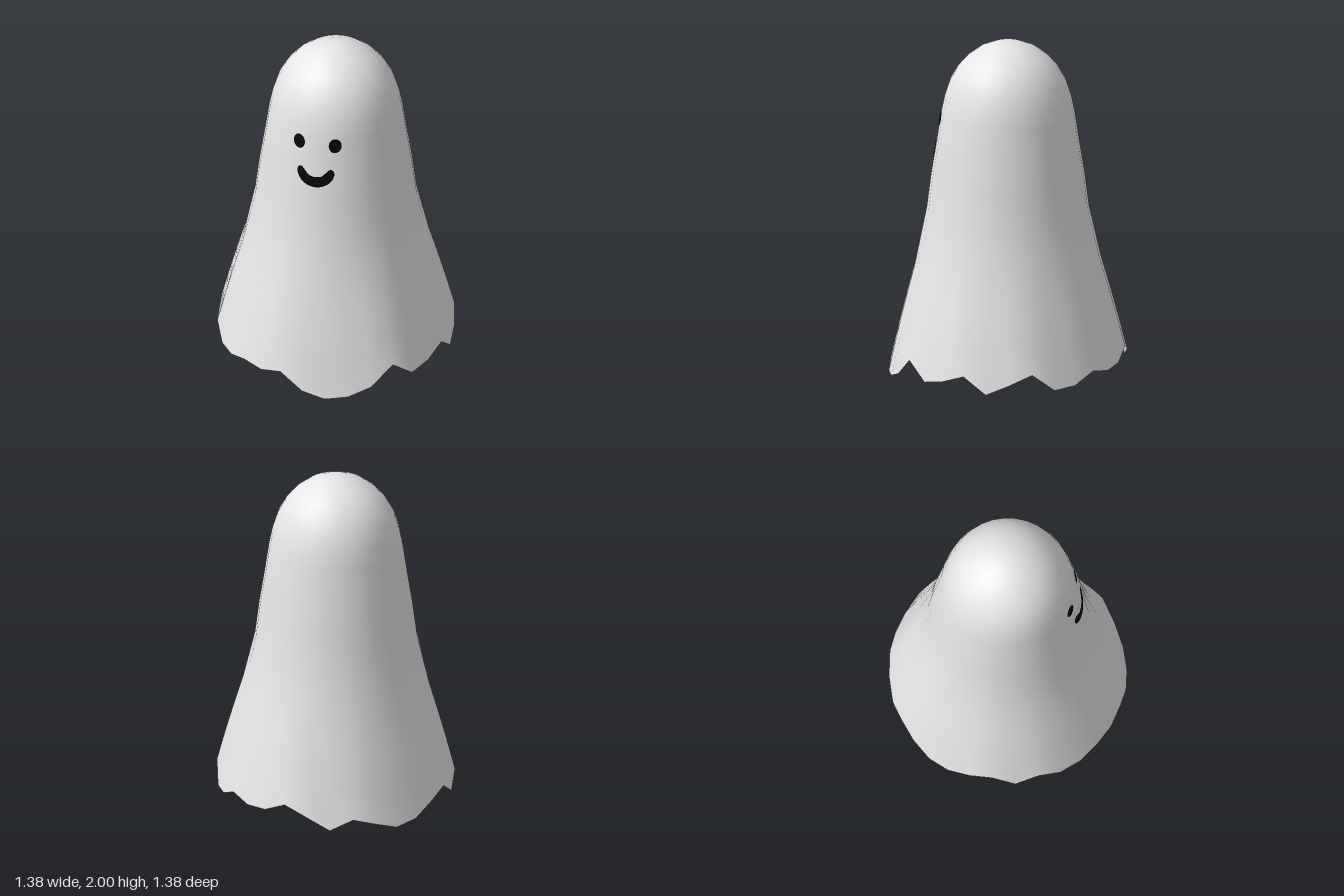
import * as THREE from 'three';
import { mergeVertices } from 'three/addons/utils/BufferGeometryUtils.js';

// Sheet profile [radius, height], hem to crown
const PROFILE = [
  [0.69, 0.1], [0.642, 0.3], [0.59, 0.5], [0.54, 0.68], [0.505, 0.84], [0.47, 1.0], [0.445, 1.2],
  [0.413, 1.4], [0.388, 1.57], [0.367, 1.67], [0.338, 1.76], [0.295, 1.836], [0.24, 1.9],
  [0.17, 1.953], [0.09, 1.987], [0, 2],
];

// Hem height of each column, from the front round through +x
const HEM = [
  0.04, 0, 0.015, 0.065, 0.185, 0.085, 0.115, 0.165, 0.065, 0.125, 0.185, 0.08, 0.09, 0.15, 0.12, 0.13,
  0.19, 0.13, 0.055, 0.12, 0.08, 0.035, 0.055, 0.12, 0.165, 0.075, 0.155, 0.085, 0.085, 0.12, 0.11, 0.14,
];

// Linear lookup in a table of [x, y] points with rising x
function lookup(table, x) {
  let i = 1;
  while (i < table.length - 1 && table[i][0] < x) i++;
  const [x0, y0] = table[i - 1], [x1, y1] = table[i];
  return THREE.MathUtils.lerp(y0, y1, (x - x0) / (x1 - x0));
}

const radiusByHeight = PROFILE.map(([r, y]) => [y, r]);

// Draped sheet: a lathe whose columns slide up or down towards a ragged hem
function sheetGeometry() {
  const lathe = new THREE.LatheGeometry(PROFILE.map(([r, y]) => new THREE.Vector2(r, y)), HEM.length);
  lathe.deleteAttribute('normal');
  lathe.deleteAttribute('uv');
  const pos = lathe.attributes.position;
  for (let i = 0; i < pos.count; i++) {
    const column = Math.floor(i / PROFILE.length) % HEM.length;
    const y = pos.getY(i);
    const weight = THREE.MathUtils.clamp((1 - y) / 0.9, 0, 1);
    pos.setY(i, y + (HEM[column] - 0.1) * weight);
  }
  const geometry = mergeVertices(lathe, 1e-5);
  geometry.computeVertexNormals();
  return geometry;
}

// Thin painted patch between two curves, wrapped onto the front of the sheet
function facePatch(halfWidth, centreX, lower, upper) {
  const geometry = new THREE.PlaneGeometry(2, 1, 28, 6);
  const pos = geometry.attributes.position;
  for (let i = 0; i < pos.count; i++) {
    const angle = pos.getX(i) * Math.PI / 2;
    const dx = halfWidth * Math.sin(angle);
    const y = THREE.MathUtils.lerp(lower(angle, dx), upper(angle, dx), pos.getY(i) + 0.5);
    const x = centreX + dx;
    const r = lookup(radiusByHeight, y) + 0.004;
    pos.setXYZ(i, x, y, Math.sqrt(r * r - x * x));
  }
  geometry.computeVertexNormals();
  return geometry;
}

export function createModel() {
  const group = new THREE.Group();
  group.name = 'ghost';
  const cloth = new THREE.MeshStandardMaterial({ color: 0xe6e6e6, side: THREE.DoubleSide });
  cloth.name = 'white cloth';
  const black = new THREE.MeshStandardMaterial({ color: 0x050505, side: THREE.DoubleSide });
  black.name = 'black paint';

  const add = (name, geometry, material) => {
    const mesh = new THREE.Mesh(geometry, material);
    mesh.name = name;
    group.add(mesh);
  };

  add('sheet', sheetGeometry(), cloth);

  // Oval eyes
  for (const [name, side] of [['leftEye', 1], ['rightEye', -1]]) {
    add(name, facePatch(0.036, side * 0.108,
      (a) => 1.545 - 0.043 * Math.cos(a),
      (a) => 1.545 + 0.043 * Math.cos(a)), black);
  }

  // Smile with rounded, raised corners
  const lip = [[0, 1.342], [0.035, 1.348], [0.055, 1.365], [0.075, 1.39], [0.092, 1.397], [0.105, 1.39], [0.112, 1.372]];
  add('mouth', facePatch(0.112, 0,
    (a) => 1.372 - 0.092 * Math.cos(a),
    (a, dx) => lookup(lip, Math.abs(dx))), black);

  return group;
}
